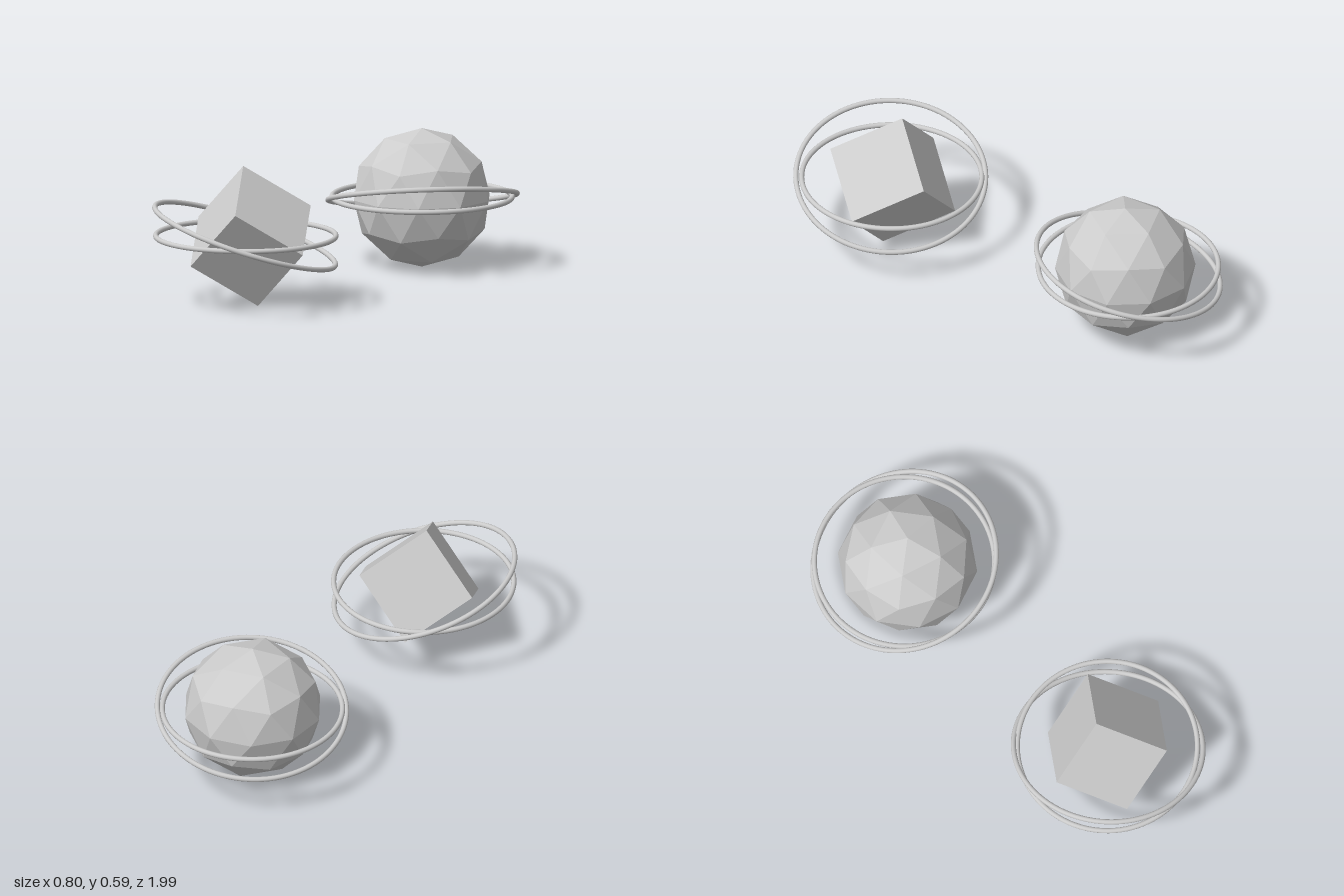
import * as THREE from 'three';

const smooth = new THREE.MeshStandardMaterial({ color: 0xcccccc });
const faceted = new THREE.MeshStandardMaterial({ color: 0xcccccc, flatShading: true });

function part(name, geometry, material, x, y, z) {
  const mesh = new THREE.Mesh(geometry, material);
  mesh.name = name;
  mesh.position.set(x, y, z);
  return mesh;
}

// Thin hoop whose axis points along the given normal
function ring(name, radius, center, normal) {
  const mesh = part(name, new THREE.TorusGeometry(radius, 0.011, 12, 96), smooth, ...center);
  const axis = new THREE.Vector3(...normal).normalize();
  mesh.quaternion.setFromUnitVectors(new THREE.Vector3(0, 0, 1), axis);
  return mesh;
}

export function createModel() {
  const model = new THREE.Group();
  model.name = 'ringedSolids';

  // Front: tumbled cube with a level and a tilted ring
  const cubeGroup = new THREE.Group();
  cubeGroup.name = 'ringedCube';
  const cube = part('cube', new THREE.BoxGeometry(0.341, 0.341, 0.341), faceted, 0.0125, 0.2975, 0.577);
  cube.rotation.set(-0.845, 0, 0.79, 'ZYX');
  cubeGroup.add(
    cube,
    ring('cubeLevelRing', 0.378, [-0.002, 0.299, 0.591], [0, 1, 0]),
    ring('cubeTiltedRing', 0.398, [-0.002, 0.299, 0.596], [0.249, 0.952, -0.18]),
  );

  // Back: faceted ball, a corner straight up, with its own two rings
  const ballGroup = new THREE.Group();
  ballGroup.name = 'ringedBall';
  const ballGeometry = new THREE.IcosahedronGeometry(0.295, 1);
  ballGeometry.rotateZ(-Math.atan(2 / (1 + Math.sqrt(5))));
  ballGroup.add(
    part('facetedBall', ballGeometry, faceted, 0.005, 0.298, -0.582),
    ring('ballLevelRing', 0.378, [-0.002, 0.299, -0.593], [0, 1, 0]),
    ring('ballTiltedRing', 0.397, [0, 0.299, -0.594], [-0.18, 0.969, -0.17]),
  );

  model.add(cubeGroup, ballGroup);
  return model;
}
